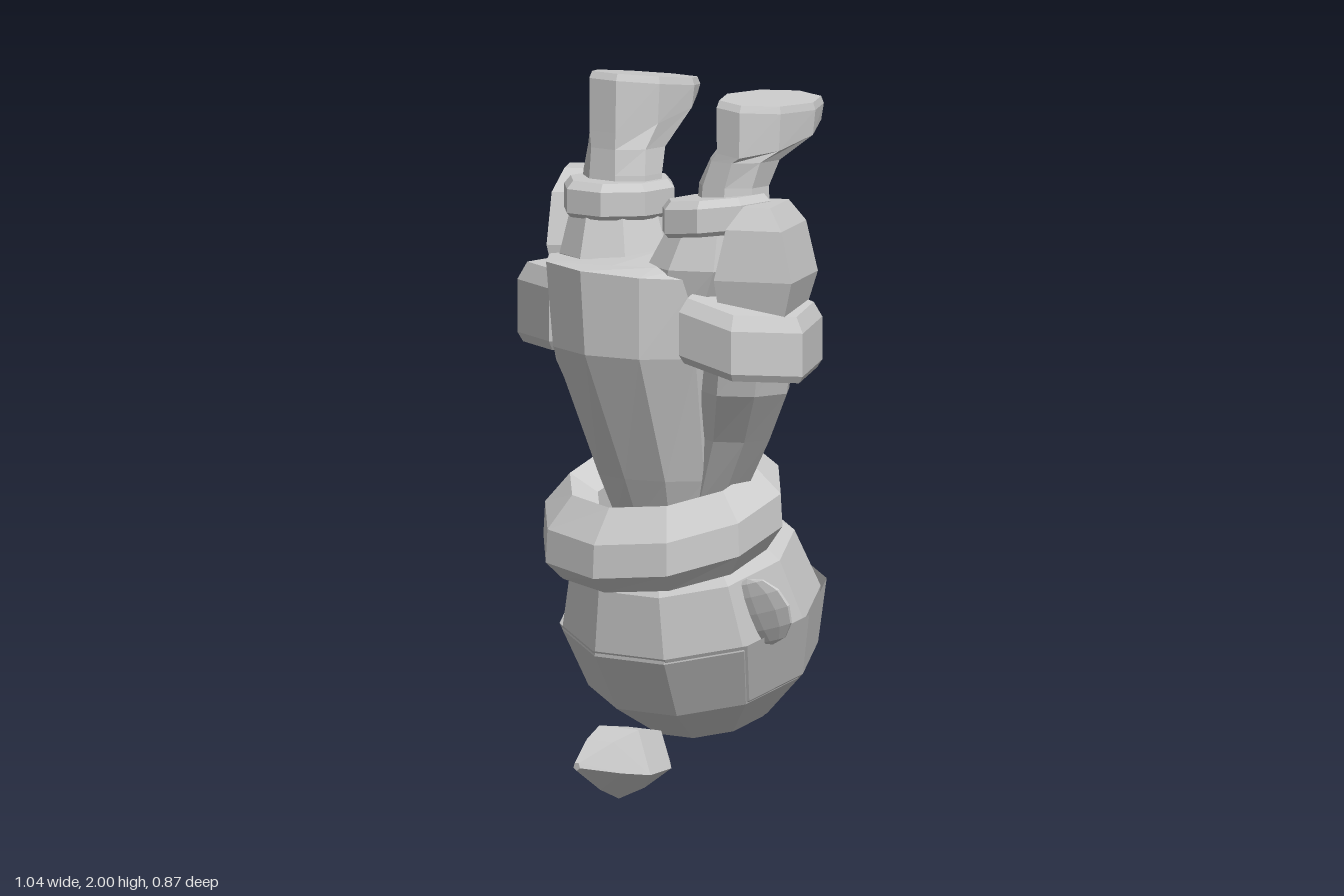
import * as THREE from 'three';

const grey = new THREE.MeshStandardMaterial({ color: 0xcccccc, flatShading: true, side: THREE.DoubleSide });

// Faceted skin through elliptical rings: [x, y, z, rx, rz, slopeX, slopeZ]
function loft(name, rings, sides = 8, { phase = Math.PI / 2, caps = true } = {}) {
  const pos = [];
  const pt = (r, j) => {
    const a = phase + (j / sides) * Math.PI * 2;
    const dx = r[3] * Math.cos(a), dz = r[4] * Math.sin(a);
    return [r[0] + dx, r[1] + dx * (r[5] || 0) + dz * (r[6] || 0), r[2] + dz];
  };
  const tri = (...p) => p.forEach((v) => pos.push(...v));
  const last = rings[rings.length - 1];
  for (let j = 0; j < sides; j++) {
    for (let i = 0; i < rings.length - 1; i++) {
      const a = pt(rings[i], j), b = pt(rings[i], j + 1);
      const c = pt(rings[i + 1], j), d = pt(rings[i + 1], j + 1);
      tri(a, c, b);
      tri(b, c, d);
    }
    if (caps) {
      tri(rings[0].slice(0, 3), pt(rings[0], j), pt(rings[0], j + 1));
      tri(last.slice(0, 3), pt(last, j + 1), pt(last, j));
    }
  }
  const g = new THREE.BufferGeometry();
  g.setAttribute('position', new THREE.Float32BufferAttribute(pos, 3));
  g.computeVertexNormals();
  const m = new THREE.Mesh(g, grey);
  m.name = name;
  return m;
}

// Bevelled band around a wrist or ankle
function cuff(name, [x, y, z], rx, rz, h, slope, sides, phase) {
  const ring = (dy, k) => [x, y + dy * h, z, rx * k, rz * k, slope];
  return loft(name, [ring(-0.5, 0.93), ring(-0.38, 1), ring(0.28, 1), ring(0.5, 0.88)], sides, { phase });
}

// Blocky mitten: wide at the knuckles, thinning to a ridge at the fingertips
function mitten(name, [x, y, z], hx, hz, yaw) {
  const k = Math.SQRT2;
  const m = loft(name, [
    [0, -0.14, 0.01, hx * 0.8 * k, hz * 0.8 * k],
    [0, -0.02, 0, hx * k, hz * k],
    [0, 0.12, 0, hx * 0.93 * k, hz * 0.72 * k],
    [0, 0.18, 0, hx * 0.7 * k, hz * 0.35 * k],
  ], 4, { phase: Math.PI / 4 });
  m.position.set(x, y, z);
  m.rotation.y = yaw;
  return m;
}

// Low-poly ball, or the part of one from thetaStart downwards
function ball(name, radius, [x, y, z], [tilt, yaw, lean], thetaStart = 0) {
  const h = thetaStart ? 3 : 6;
  const g = new THREE.SphereGeometry(radius, 10, h, Math.PI / 10, Math.PI * 2, thetaStart, Math.PI - thetaStart);
  const m = new THREE.Mesh(g, grey);
  m.name = name;
  m.position.set(x, y, z);
  m.rotation.set(tilt, yaw, lean);
  return m;
}

export function createModel() {
  const model = new THREE.Group();
  model.name = 'upsideDownFigure';

  // Head with a slightly larger cap over its lower (crown) half
  model.add(ball('head', 0.358, [-0.045, 0.51, -0.07], [0.3, -0.18, -0.08]));
  model.add(ball('cap', 0.37, [-0.045, 0.528, -0.077], [0.3, -0.18, -0.08], Math.PI / 2));

  // Flat round ears, swept back
  for (const [name, x, y, yaw] of [['rightEar', -0.37, 0.625, -0.6], ['leftEar', 0.285, 0.54, 0.2]]) {
    const ear = ball(name, 0.1, [x, y, 0.035], [0.3, yaw, 0.2]);
    ear.scale.z = 0.18;
    model.add(ear);
  }

  // Bobble hanging below the cap, drawn to a point at the front
  const bobble = loft('bobble', [
    [0, 0, 0, 0.06, 0.05], [0, 0.04, 0, 0.1, 0.09], [0, 0.15, 0, 0.118, 0.108], [0, 0.23, 0, 0.08, 0.075], [0, 0.33, 0, 0.012, 0.012],
  ], 5);
  bobble.rotation.x = Math.PI / 2;
  bobble.position.set(-0.12, 0.108, 0);
  model.add(bobble);

  // Thick tilted scarf ring
  const scarf = [[0.68, 0.22, 0.18], [0.68, 0.32, 0.25], [0.74, 0.365, 0.3], [0.83, 0.36, 0.295],
    [0.905, 0.285, 0.23], [0.85, 0.2, 0.16], [0.68, 0.22, 0.18]]
    .map(([y, rx, rz]) => [-0.03, y, 0.07, rx, rz, 0, -0.34]);
  model.add(loft('scarf', scarf, 10, { caps: false }));

  // Coat flaring up to its hem, closed by the seat between the legs
  model.add(loft('coat', [
    [-0.02, 0.78, 0.07, 0.16, 0.12],
    [-0.02, 0.9, 0.085, 0.2, 0.16],
    [-0.025, 1.26, 0.155, 0.26, 0.255, -0.03],
    [-0.025, 1.48, 0.155, 0.28, 0.275, -0.05, 0.05],
    [0, 1.5, 0.13, 0.2, 0.19],
    [0.01, 1.52, 0.06, 0.08, 0.08],
  ], 10));

  // Legs and ankle cuffs
  const eighth = Math.PI / 8;
  model.add(loft('rightLeg', [[-0.11, 1.3, 0.1, 0.14, 0.17], [-0.15, 1.5, 0.1, 0.165, 0.18], [-0.16, 1.66, 0.1, 0.12, 0.13]]));
  model.add(loft('leftLeg', [[0.11, 1.3, 0.11, 0.14, 0.17], [0.18, 1.5, 0.12, 0.165, 0.18], [0.21, 1.64, 0.13, 0.11, 0.12]]));
  model.add(cuff('rightAnkleCuff', [-0.16, 1.655, 0.1], 0.155, 0.165, 0.1, 0, 8, eighth));
  model.add(cuff('leftAnkleCuff', [0.21, 1.64, 0.13], 0.15, 0.165, 0.1, 0.1, 8, eighth));

  // Boots, soles up and toes to the back
  const boot = (name, x0, x1, y, w, sx, sz) => loft(name, [
    [x0, 1.62, 0.09, 0.125 * w, 0.1],
    [x0, 1.72, 0.085, 0.118 * w, 0.095],
    [(x0 + x1) / 2, 1.79, 0.065, 0.11 * w, 0.11],
    [x1, y - 0.105, -0.01, 0.12 * w, 0.19, sx, -0.2],
    [x1, y - 0.02, -0.015, 0.124 * w, 0.195, sx, sz],
    [x1, y, -0.015, 0.118 * w, 0.185, sx, sz],
  ], 8, { phase: eighth });
  model.add(boot('rightBoot', -0.16, -0.165, 1.977, 1, 0, 0.13));
  model.add(boot('leftBoot', 0.235, 0.28, 1.95, 0.86, -0.1, 0.03));

  // Arms raised beside the coat
  model.add(loft('rightArm', [
    [-0.15, 0.84, 0.02, 0.07, 0.09], [-0.22, 1.02, 0.01, 0.11, 0.11], [-0.29, 1.18, 0.01, 0.13, 0.13], [-0.32, 1.32, 0, 0.14, 0.14],
  ], 7));
  model.add(loft('leftArm', [
    [0.15, 0.84, 0.05, 0.07, 0.08], [0.24, 1.02, 0.08, 0.1, 0.1], [0.31, 1.16, 0.12, 0.12, 0.13], [0.35, 1.32, 0.14, 0.12, 0.14],
  ], 7));

  // Wrist cuffs and mittens
  model.add(cuff('rightWristCuff', [-0.31, 1.335, 0], 0.235, 0.22, 0.22, 0.02, 6, Math.PI / 2));
  model.add(cuff('leftWristCuff', [0.335, 1.325, 0.135], 0.185, 0.225, 0.18, -0.2, 6, 0));
  model.add(mitten('rightMitten', [-0.345, 1.525, -0.03], 0.12, 0.145, 0.55));
  model.add(mitten('leftMitten', [0.36, 1.5, 0.1], 0.135, 0.11, -1.15));

  return model;
}
